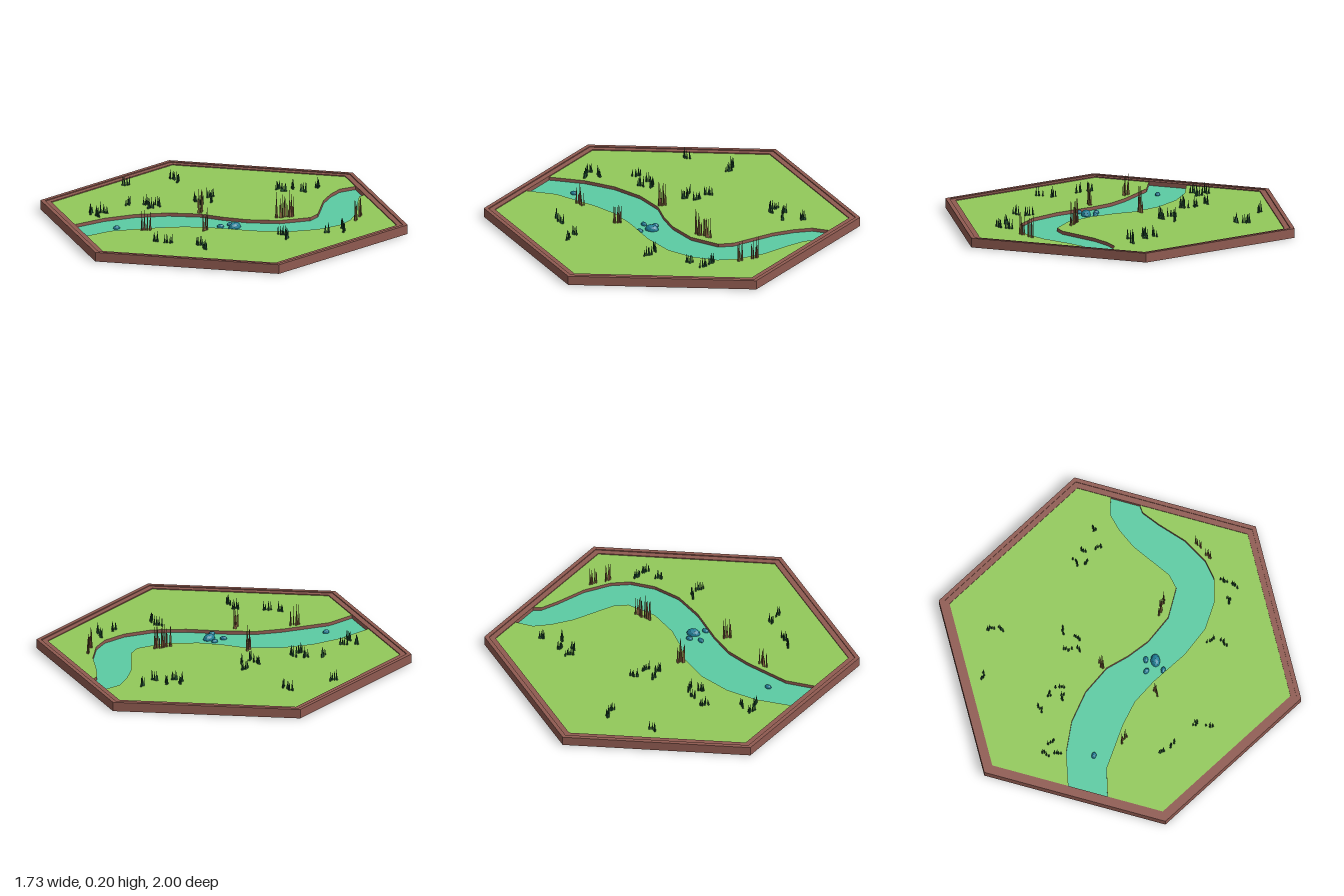
import * as THREE from 'three';
import { mergeGeometries } from 'three/addons/utils/BufferGeometryUtils.js';

const mat = (name, color) => {
  const m = new THREE.MeshStandardMaterial({ color });
  m.name = name;
  return m;
};

export function createModel() {
  const soil = mat('soil brown', 0x8f5a50);
  const grass = mat('grass green', 0x92c95a);
  const water = mat('water teal', 0x5bcba3);
  const blade = mat('tuft dark green', 0x1f4d30);
  const olive = mat('reed olive', 0x7d6c3a);
  const rust = mat('reed brown', 0x8e5a45);
  const stone = mat('stone blue', 0x1f7f98);

  const model = new THREE.Group();
  model.name = 'riverTile';
  const add = (name, geometry, material, x = 0, y = 0, z = 0) => {
    const m = new THREE.Mesh(geometry, material);
    m.name = name;
    m.position.set(x, y, z);
    model.add(m);
    return m;
  };

  let seed = 7;
  const rand = (a = 0, b = 1) => {
    seed = (seed * 16807) % 2147483647;
    return a + (b - a) * (seed / 2147483647);
  };

  // Plan shapes are given as [x, z] and extruded upwards
  const plan = pts => pts.map(([x, z]) => new THREE.Vector2(x, -z));
  const hex = r => Array.from({ length: 6 }, (_, i) => {
    const a = i * Math.PI / 3;
    return [r * Math.sin(a), r * Math.cos(a)];
  });
  const slab = (pts, depth, hole) => {
    const s = new THREE.Shape(plan(pts));
    if (hole) s.holes.push(new THREE.Path(plan(hole)));
    return new THREE.ExtrudeGeometry(s, { depth, bevelEnabled: false }).rotateX(-Math.PI / 2);
  };

  // Tray: floor, inner ledge and outer rim
  const R = 0.941;
  add('trayFloor', slab(hex(0.975), 0.015), soil);
  add('innerLedge', slab(hex(0.975), 0.045, hex(R)), soil);
  add('outerRim', slab(hex(1), 0.05, hex(0.975)), soil);

  // Water sheet
  add('river', slab(hex(R), 0.007), water, 0, 0.015, 0);

  // Grass banks on both sides of the river, green on top with soil edges
  const W = 0.815, H = R / 2;
  const northBank = [[-W, -0.05], [-0.63, -0.115], [-0.455, -0.135], [-0.275, -0.11],
    [-0.115, -0.04], [-0.02, 0.05], [0.09, 0.13], [0.25, 0.195], [0.42, 0.19], [0.48, 0.135],
    [0.58, -0.09], [0.65, -0.19], [0.72, -0.26], [W, -0.285]];
  const southBank = [[-W, 0.165], [-0.66, 0.115], [-0.4, 0.13], [-0.26, 0.155], [-0.12, 0.22],
    [0.07, 0.335], [0.24, 0.4], [0.4, 0.405], [0.53, 0.365], [0.61, 0.295], [0.69, 0.16],
    [0.74, 0], [0.78, -0.1], [W, -0.125]];
  for (const [name, bank, s] of [['northMeadow', northBank, -1], ['southMeadow', southBank, 1]]) {
    const pts = [...bank, [W, s * H], [0, s * R], [-W, s * H]];
    add(name, slab(pts, 0.022), [grass, soil], 0, 0.018, 0);
  }

  // A clump of thin pointed blades, scattered along a short line
  const clump = (count, spreadX, spreadZ, radius, h0, h1, lean) => {
    const parts = [];
    for (let i = 0; i < count; i++) {
      const h = rand(h0, h1), t = count > 1 ? i / (count - 1) - 0.5 : 0;
      const g = new THREE.ConeGeometry(radius, h, 4).toNonIndexed();
      g.translate(0, h / 2, 0);
      g.rotateY(rand(0, 3)).rotateZ(rand(-lean, lean)).rotateX(rand(-lean, lean));
      g.translate(t * spreadX + rand(-0.006, 0.006), 0, t * spreadZ + rand(-0.008, 0.008));
      g.computeVertexNormals();
      parts.push(g);
    }
    return mergeGeometries(parts);
  };

  // Grass tufts
  const tufts = [[-0.345, -0.66], [-0.075, -0.69], [-0.06, -0.64], [-0.67, -0.22], [-0.6, -0.205],
    [-0.655, -0.155], [-0.435, -0.315], [-0.345, -0.29], [-0.29, -0.25], [-0.345, -0.22],
    [-0.075, -0.265], [-0.06, -0.21], [0.005, -0.235], [0.02, -0.32], [0.41, -0.365],
    [0.425, -0.31], [0.485, -0.34], [0.52, -0.27], [0.62, -0.325], [-0.49, 0.37], [-0.435, 0.415],
    [-0.285, 0.5], [-0.28, 0.58], [0.185, 0.445], [0.19, 0.52], [0.43, 0.48], [0.52, 0.485],
    [0.53, 0.42]];
  for (const [x, z] of tufts) {
    const a = rand(0, Math.PI);
    const g = clump(5, 0.033 * Math.cos(a), 0.033 * Math.sin(a), 0.006, 0.04, 0.065, 0.08);
    add('grassTuft', g, blade, x, 0.038, z);
  }

  // Tall reeds by the water: [x, z, blades, spread in x, spread in z, height]
  const reeds = [[-0.11, -0.07, 5, 0.03, -0.03, 0.165], [-0.48, 0.16, 4, 0.04, 0.01, 0.13],
    [-0.18, 0.25, 4, 0.03, -0.03, 0.135], [0.29, 0.145, 9, 0.1, 0.01, 0.165],
    [0.635, 0.305, 4, 0.02, -0.03, 0.13], [0.685, 0.235, 4, 0.02, -0.03, 0.13]];
  for (const [x, z, n, sx, sz, h] of reeds) {
    add('reedStems', clump(n, sx, sz, 0.005, h * 0.75, h, 0.03), olive, x, 0.038, z);
    add('reedLeaves', clump(n - 1, sx * 0.8, sz * 0.8, 0.005, h * 0.5, h * 0.85, 0.05), rust, x, 0.038, z);
  }

  // Flattened stones in the river: [x, z, radius]
  const stones = [[-0.605, 0.03, 0.019], [0, 0.195, 0.037], [-0.07, 0.165, 0.019],
    [-0.01, 0.145, 0.019], [-0.04, 0.25, 0.019]];
  for (const [x, z, r] of stones) {
    const g = new THREE.IcosahedronGeometry(r, 1).scale(1, 0.75, 0.7);
    g.computeVertexNormals();
    add('stone', g, stone, x, 0.026, z).rotation.y = rand(-0.4, 0.4);
  }
  return model;
}
